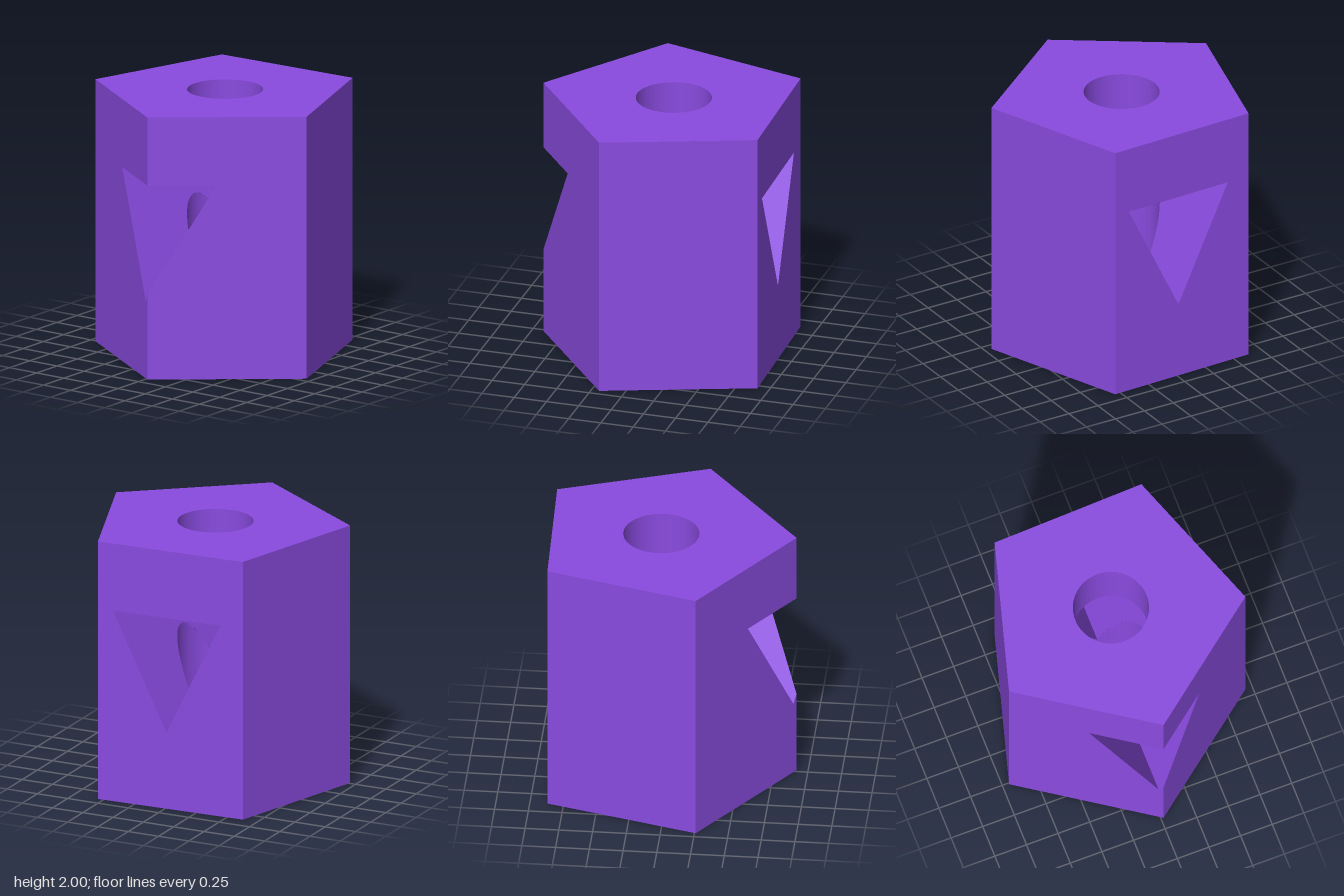
import * as THREE from 'three';

// Plan of the pentagonal prism as [x, z] corners
const LEFT = [-0.915, 0.02], BACK = [-0.26, -0.95], BACK_RIGHT = [0.87, -0.63];
const FRONT_RIGHT = [0.91, 0.545], FRONT = [-0.19, 0.945];
const HEIGHT = 2;

// Round vertical bore and triangular tunnel along x
const BORE_X = 0.085, MID_Z = -0.012, BORE_R = 0.281;
const ROOF = 1.48, APEX = 0.59, HALF = 0.436;
const Z_FRONT = MID_Z + HALF, Z_BACK = MID_Z - HALF;
const tunnelFloor = z => APEX + (ROOF - APEX) * Math.abs(z - MID_Z) / HALF;

// x on the line through two plan corners at a given z
const xAt = (a, b, z) => a[0] + (b[0] - a[0]) * (z - a[1]) / (b[1] - a[1]);
const xRight = z => xAt(BACK_RIGHT, FRONT_RIGHT, z);
const xLeft = z => xAt(LEFT, z > LEFT[1] ? FRONT : BACK, z);

const outline = points => new THREE.Shape(points.map(p => new THREE.Vector2(...p)));

const withBore = shape => {
  shape.holes.push(new THREE.Path().absarc(BORE_X, MID_Z, BORE_R, 0, Math.PI * 2, true));
  return shape;
};

export function createModel() {
  const group = new THREE.Group();
  const material = new THREE.MeshStandardMaterial({ color: 0x8a4be0 });

  // Flat panel: a 2D shape placed by a linear map, turned to face a direction
  const panel = (name, shape, place, facing) => {
    const geometry = new THREE.ShapeGeometry(shape, 32);
    const pos = geometry.attributes.position;
    for (let i = 0; i < pos.count; i++) pos.setXYZ(i, ...place(pos.getX(i), pos.getY(i)));
    geometry.computeVertexNormals();
    const normal = new THREE.Vector3().fromBufferAttribute(geometry.attributes.normal, 0);
    if (normal.dot(new THREE.Vector3(...facing)) < 0) {
      geometry.index.array.reverse();
      geometry.computeVertexNormals();
    }
    const mesh = new THREE.Mesh(geometry, material);
    mesh.name = name;
    group.add(mesh);
  };

  // Top and bottom caps
  const plan = () => withBore(outline([LEFT, BACK, BACK_RIGHT, FRONT_RIGHT, FRONT]));
  panel('topCap', plan(), (x, z) => [x, HEIGHT, z], [0, 1, 0]);
  panel('bottomCap', plan(), (x, z) => [x, 0, z], [0, -1, 0]);

  // Outer walls, drawn in (z, y) and laid along their plan edge
  const wall = (name, a, b, shape) => panel(name, shape,
    (z, y) => [xAt(a, b, z), y, z], [a[0] + b[0], 0, a[1] + b[1]]);
  const plain = (a, b) => outline([[a[1], 0], [b[1], 0], [b[1], HEIGHT], [a[1], HEIGHT]]);
  wall('backWall', BACK, BACK_RIGHT, plain(BACK, BACK_RIGHT));
  wall('frontWall', FRONT_RIGHT, FRONT, plain(FRONT_RIGHT, FRONT));

  const rightWall = plain(BACK_RIGHT, FRONT_RIGHT);
  rightWall.holes.push(outline([[Z_BACK, ROOF], [Z_FRONT, ROOF], [MID_Z, APEX]]));
  wall('tunnelEndWall', BACK_RIGHT, FRONT_RIGHT, rightWall);

  // The two walls meeting at the notched corner
  const zc = LEFT[1], cornerFloor = [zc, tunnelFloor(zc)];
  wall('frontNotchedWall', LEFT, FRONT, outline([
    [zc, 0], [FRONT[1], 0], [FRONT[1], HEIGHT], [zc, HEIGHT],
    [zc, ROOF], [Z_FRONT, ROOF], cornerFloor]));
  wall('backNotchedWall', LEFT, BACK, outline([
    [zc, 0], [BACK[1], 0], [BACK[1], HEIGHT], [zc, HEIGHT],
    [zc, ROOF], [Z_BACK, ROOF], [MID_Z, APEX], cornerFloor]));

  // Tunnel roof
  panel('tunnelRoof', withBore(outline([
    [xLeft(Z_BACK), Z_BACK], [xRight(Z_BACK), Z_BACK],
    [xRight(Z_FRONT), Z_FRONT], [xLeft(Z_FRONT), Z_FRONT], LEFT,
  ])), (x, z) => [x, ROOF, z], [0, -1, 0]);

  // Sloping tunnel sides, each with half the bore cut from its lower edge
  for (const side of [1, -1]) {
    const edge = MID_Z + side * HALF;
    const slope = new THREE.Shape();
    slope.moveTo(xLeft(MID_Z), MID_Z);
    if (side > 0) slope.lineTo(...LEFT);
    slope.lineTo(xLeft(edge), edge);
    slope.lineTo(xRight(edge), edge);
    slope.lineTo(xRight(MID_Z), MID_Z);
    slope.lineTo(BORE_X + BORE_R, MID_Z);
    slope.absarc(BORE_X, MID_Z, BORE_R, 0, side * Math.PI, side < 0);
    panel(side > 0 ? 'tunnelFrontSlope' : 'tunnelBackSlope', slope,
      (x, z) => [x, tunnelFloor(z), z], [0, 1, -side]);
  }

  // Bore wall above and below the tunnel, facing inward
  const bore = (name, top, bottom) => {
    const geometry = new THREE.LatheGeometry(
      [new THREE.Vector2(BORE_R, 1), new THREE.Vector2(BORE_R, 0)], 64);
    geometry.translate(BORE_X, 0, MID_Z);
    const pos = geometry.attributes.position;
    for (let i = 0; i < pos.count; i++) {
      pos.setY(i, pos.getY(i) > 0.5 ? top(pos.getZ(i)) : bottom);
    }
    const mesh = new THREE.Mesh(geometry, material);
    mesh.name = name;
    group.add(mesh);
  };
  bore('upperBore', () => HEIGHT, ROOF);
  bore('lowerBore', tunnelFloor, 0);

  return group;
}
